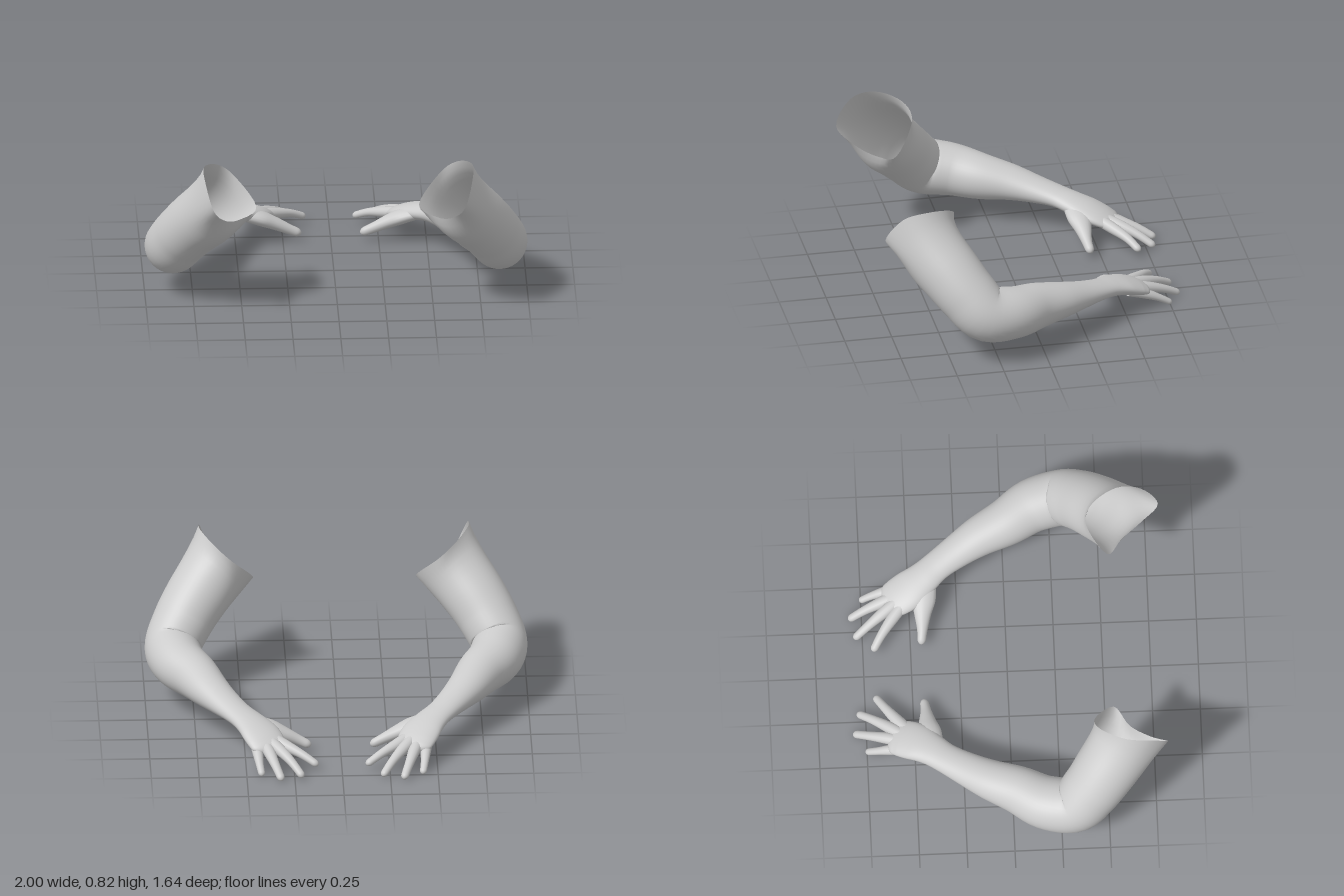
import * as THREE from 'three';

const material = new THREE.MeshStandardMaterial({ color: 0xcccccc, side: THREE.DoubleSide });

// Smooth tube through elliptical sections [x, y, z, halfWidth, halfHeight], rounded off at its far end.
// shape(point, segment, side index, angle, center) may adjust each surface point.
function loft(name, rows, rings, sides, shape) {
  const path = new THREE.CatmullRomCurve3(rows.map(r => new THREE.Vector3(r[0], r[1], r[2])));
  const radii = new THREE.CatmullRomCurve3(rows.map(r => new THREE.Vector3(r[3], r[4], 0)), false, 'catmullrom');
  const end = path.getPoint(1);
  const up = new THREE.Vector3(0, 1, 0);
  const positions = [], index = [];
  for (let i = 0; i <= rings; i++) {
    const t = Math.sin((i / rings) * Math.PI / 2);
    const center = path.getPoint(t), along = path.getTangent(t), r = radii.getPoint(t);
    const side = along.clone().cross(up).normalize();
    const top = side.clone().cross(along);
    const q = Math.max(0, 1 - center.distanceTo(end) / (r.y * 1.3));
    const cap = Math.sqrt(Math.max(1e-6, 1 - q * q));
    for (let j = 0; j < sides; j++) {
      const angle = (j / sides) * Math.PI * 2;
      const p = center.clone()
        .addScaledVector(side, r.x * cap * Math.cos(angle))
        .addScaledVector(top, r.y * cap * Math.sin(angle));
      if (shape) shape(p, t * (rows.length - 1), j, angle, center);
      positions.push(p.x, p.y, p.z);
      if (i < rings) {
        const a = i * sides + j, b = i * sides + (j + 1) % sides;
        index.push(a, a + sides, b, b, a + sides, b + sides);
      }
    }
  }
  const geometry = new THREE.BufferGeometry();
  geometry.setAttribute('position', new THREE.Float32BufferAttribute(positions, 3));
  geometry.setIndex(index);
  geometry.computeVertexNormals();
  const mesh = new THREE.Mesh(geometry, material);
  mesh.name = name;
  return mesh;
}

// Upper arm, elbow, forearm, wrist and palm
const armRows = [
  [0.58, 0.636, 0.632, 0.178, 0.182],
  [0.718, 0.489, 0.5, 0.168, 0.166],
  [0.804, 0.373, 0.406, 0.157, 0.156],
  [0.853, 0.281, 0.318, 0.148, 0.15],
  [0.827, 0.255, 0.17, 0.142, 0.137],
  [0.747, 0.24, 0.03, 0.126, 0.12],
  [0.677, 0.225, -0.118, 0.107, 0.092],
  [0.605, 0.207, -0.24, 0.09, 0.067],
  [0.535, 0.19, -0.345, 0.081, 0.05],
  [0.48, 0.173, -0.415, 0.088, 0.046],
  [0.427, 0.148, -0.49, 0.104, 0.044],
  [0.393, 0.12, -0.56, 0.102, 0.038],
  [0.368, 0.091, -0.628, 0.085, 0.024],
];

// Uneven open rim at the shoulder end
const rim = new THREE.CatmullRomCurve3([
  [0.66, 0.66, 0.815], [0.70, 0.79, 0.73], [0.70, 0.82, 0.60], [0.63, 0.785, 0.47],
  [0.54, 0.71, 0.435], [0.425, 0.572, 0.54], [0.52, 0.53, 0.62], [0.60, 0.57, 0.73],
].map(p => new THREE.Vector3(...p)), true, 'catmullrom');

const fingers = {
  indexFinger: [[0.385, 0.133, -0.50], [0.293, 0.106, -0.58], [0.205, 0.08, -0.647], [0.126, 0.042, -0.698]],
  middleFinger: [[0.40, 0.132, -0.52], [0.328, 0.103, -0.62], [0.265, 0.068, -0.71], [0.208, 0.018, -0.793]],
  ringFinger: [[0.42, 0.128, -0.52], [0.382, 0.097, -0.63], [0.35, 0.06, -0.73], [0.318, 0.012, -0.818]],
  littleFinger: [[0.455, 0.12, -0.52], [0.44, 0.086, -0.62], [0.432, 0.053, -0.69], [0.42, 0.012, -0.757]],
};
const fingerRadii = [0.033, 0.032, 0.024, 0.02];

function createArm(name) {
  const arm = new THREE.Group();
  arm.name = name;
  const sides = 40;
  const rimPoints = rim.getPoints(sides);
  const rimOffsets = [];
  arm.add(loft('armAndPalm', armRows, 96, sides, (p, segment, j, angle, center) => {
    // Ease the first section into the rim
    if (segment === 0) rimOffsets[j] = rimPoints[j].clone().sub(p);
    if (segment < 1) p.addScaledVector(rimOffsets[j], (1 - segment) ** 2.5);
    // Fold on the inside of the elbow
    const fold = Math.exp(-(((segment - 3.1) / 0.22) ** 2)) * Math.max(0, Math.cos(angle - 2.45)) ** 3;
    p.lerp(center, 0.1 * fold);
  }));

  for (const [fingerName, points] of Object.entries(fingers)) {
    const size = fingerName === 'littleFinger' ? 0.88 : 1;
    const rows = points.map((p, i) => [...p, fingerRadii[i] * size, fingerRadii[i] * size * 0.9]);
    arm.add(loft(fingerName, rows, 28, 16));
  }
  arm.add(loft('thumb', [
    [0.47, 0.17, -0.40, 0.05, 0.03],
    [0.37, 0.14, -0.422, 0.063, 0.038],
    [0.295, 0.108, -0.43, 0.044, 0.034],
    [0.22, 0.072, -0.435, 0.027, 0.027],
    [0.155, 0.042, -0.443, 0.022, 0.022],
  ], 28, 18));
  return arm;
}

export function createModel() {
  const model = new THREE.Group();
  model.name = 'armPair';
  const left = createArm('leftArm');
  const right = createArm('rightArm');
  right.scale.x = -1;
  model.add(left, right);
  return model;
}
